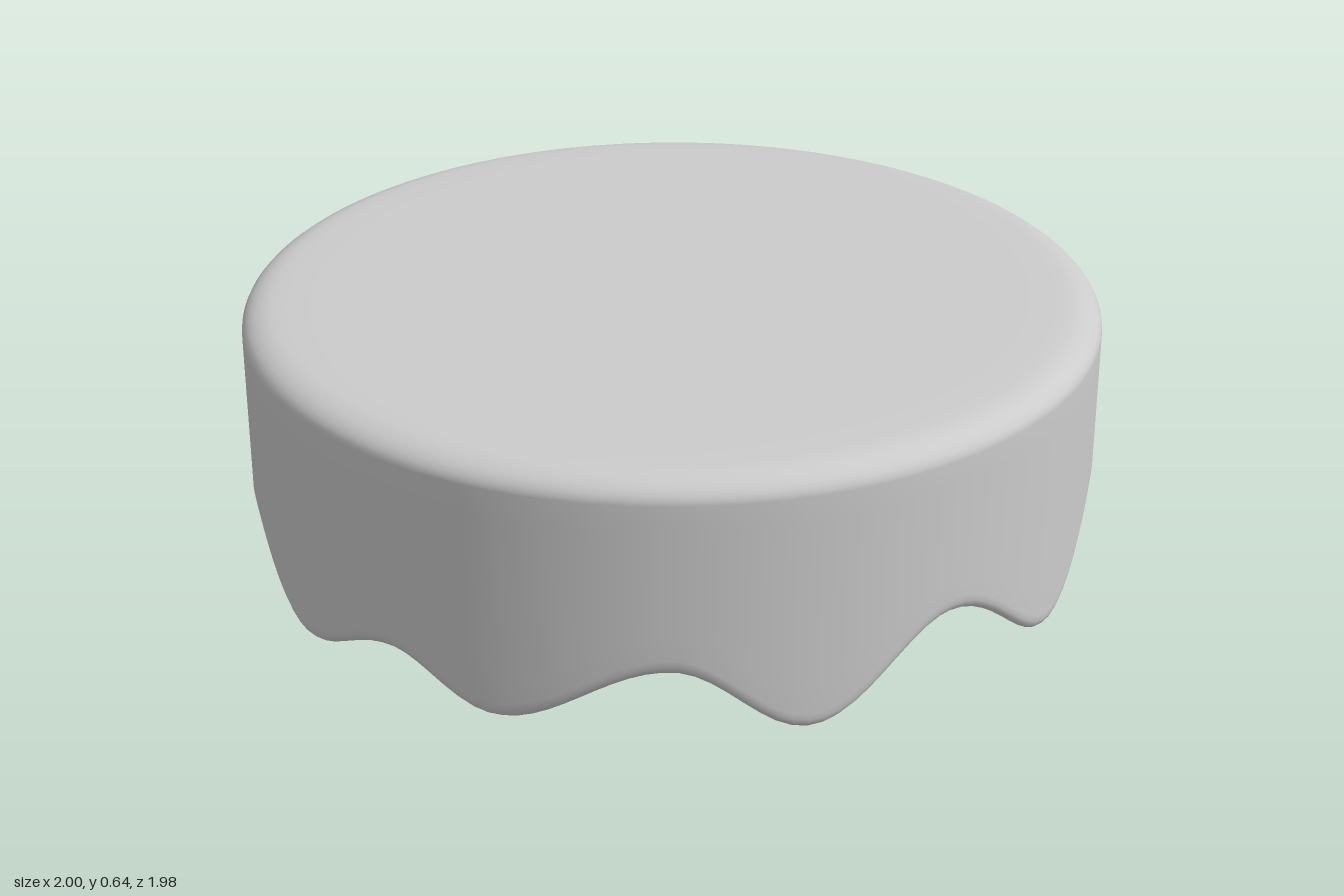
import * as THREE from 'three';

// Drip crests and troughs around the rim: [angle in degrees from +z towards +x, edge height]
const DRIPS = [
  [-50, 0.13], [-35.5, 0.04], [-13, 0.19], [4.5, 0.03], [24, 0.22], [45.5, 0.03],
  [65, 0.22], [90, 0.01], [117, 0.232], [144.5, 0.0], [171, 0.235], [201, 0.01],
  [229, 0.22], [253.5, 0.014], [272, 0.18], [292, 0.03],
];

// Height of the lower edge, eased smoothly between crests and troughs
function edgeHeight(deg) {
  const first = DRIPS[0][0];
  const d = first + ((deg - first) % 360 + 360) % 360;
  for (let i = 0; i < DRIPS.length; i++) {
    const [a0, y0] = DRIPS[i];
    const [a1, y1] = i + 1 < DRIPS.length ? DRIPS[i + 1] : [first + 360, DRIPS[0][1]];
    if (d <= a1) return y0 + (y1 - y0) * (1 - Math.cos(Math.PI * (d - a0) / (a1 - a0))) / 2;
  }
  return DRIPS[0][1];
}

// Cross-section from the middle of the top down to the edge, as [radius, height]
function section(edge) {
  const points = [[0.3, 0.64], [0.6, 0.64], [0.8, 0.64], [0.88, 0.639]];
  // rounded shoulder
  for (let i = 0; i <= 8; i++) {
    const t = (i / 8) * Math.PI / 2;
    points.push([0.91 + 0.087 * Math.sin(t), 0.585 + 0.052 * Math.cos(t)]);
  }
  // straight wall
  for (let i = 1; i <= 8; i++) {
    const t = i / 8;
    points.push([0.997 + 0.003 * t, 0.585 + (edge + 0.035 - 0.585) * t]);
  }
  // edge turned slightly inward
  points.push([0.999, edge + 0.02], [0.995, edge + 0.008], [0.987, edge]);
  return points;
}

function icingGeometry(segments) {
  const positions = [0, 0.64, 0];
  const indices = [];
  let rows = 0;
  for (let j = 0; j < segments; j++) {
    const angle = (j / segments) * Math.PI * 2;
    const points = section(edgeHeight(THREE.MathUtils.radToDeg(angle)));
    rows = points.length;
    for (const [r, y] of points) positions.push(r * Math.sin(angle), y, r * Math.cos(angle) * 0.99);
  }
  for (let j = 0; j < segments; j++) {
    const a = 1 + j * rows;
    const b = 1 + ((j + 1) % segments) * rows;
    indices.push(0, a, b);
    for (let i = 0; i < rows - 1; i++) {
      indices.push(a + i, a + i + 1, b + i + 1, a + i, b + i + 1, b + i);
    }
  }
  const geometry = new THREE.BufferGeometry();
  geometry.setAttribute('position', new THREE.Float32BufferAttribute(positions, 3));
  geometry.setIndex(indices);
  geometry.computeVertexNormals();
  return geometry;
}

export function createModel() {
  const group = new THREE.Group();
  group.name = 'drippingIcing';
  const material = new THREE.MeshStandardMaterial({ color: 0xcccccc, side: THREE.DoubleSide });
  const icing = new THREE.Mesh(icingGeometry(180), material);
  icing.name = 'icingShell';
  group.add(icing);
  return group;
}
